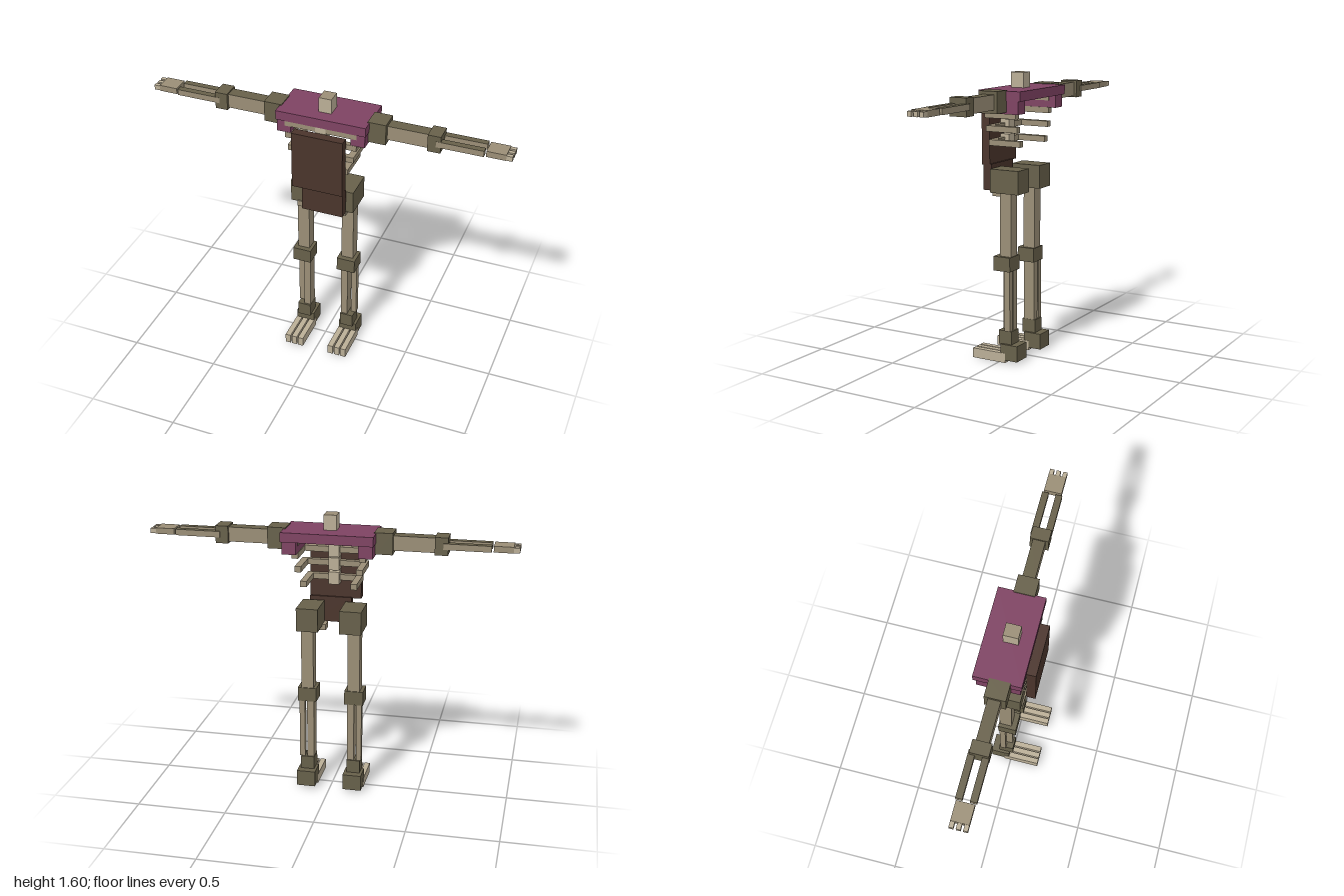
import * as THREE from 'three';

export function createModel() {
  const mat = (name, color) => {
    const m = new THREE.MeshStandardMaterial({ color });
    m.name = name;
    return m;
  };
  const bone = mat('bone', 0x9a8e76);
  const paleBone = mat('paleBone', 0xbaae96);
  const joint = mat('mossyJoint', 0x67604a);
  const leather = mat('darkLeather', 0x4a342b);
  const cloth = mat('purpleCloth', 0x7e4262);

  const model = new THREE.Group();
  model.name = 'headlessSkeleton';

  // Box from its limits: [x0, x1], [y0, y1], [z0, z1]
  const box = (parent, name, material, [x0, x1], [y0, y1], [z0, z1]) => {
    const mesh = new THREE.Mesh(new THREE.BoxGeometry(Math.abs(x1 - x0), y1 - y0, z1 - z0), material);
    mesh.position.set((x0 + x1) / 2, (y0 + y1) / 2, (z0 + z1) / 2);
    mesh.name = name;
    parent.add(mesh);
  };
  const group = (name) => {
    const g = new THREE.Group();
    g.name = name;
    model.add(g);
    return g;
  };

  // Face order: +x, -x, +y, -y, +z, -z
  const mossTop = [bone, bone, joint, joint, bone, bone];
  const neckFaces = [paleBone, paleBone, bone, bone, paleBone, paleBone];

  // Neck, mantle and front armour
  box(model, 'neck', neckFaces, [-0.035, 0.035], [1.5, 1.595], [-0.07, 0.01]);
  box(model, 'mantle', cloth, [-0.25, 0.25], [1.46, 1.512], [-0.17, 0.083]);
  box(model, 'chestPlate', leather, [-0.143, 0.143], [1.095, 1.425], [0.08, 0.13]);
  box(model, 'bellyPlate', leather, [-0.09, 0.143], [0.955, 1.1], [0.07, 0.12]);

  // Breastbone blocks, one per pair of ribs
  const ribs = [[1.22, 0.155], [1.3, 0.185], [1.375, 0.2], [1.445, 0.2]];
  const ribCage = group('ribCage');
  for (const [y] of ribs) {
    box(ribCage, 'breastbone', paleBone, [-0.03, 0.03], [y - 0.035, y + 0.035], [0.025, 0.078]);
  }

  for (const s of [1, -1]) {
    const side = s > 0 ? 'left' : 'right';
    const part = (parent, name, material, [a, b], y, z) =>
      box(parent, name, material, [s * a, s * b], y, z);

    part(model, side + 'MantleFlap', cloth, [0.168, 0.245], [1.39, 1.46], [-0.155, 0.076]);

    // Ribs: front bar out from the breastbone, then a bar running back
    for (const [y, reach] of ribs) {
      const h = [y - 0.016, y + 0.016];
      part(ribCage, 'ribFront', bone, [0.03, reach], h, [0.05, 0.078]);
      part(ribCage, 'ribSide', bone, [reach - 0.035, reach], h, [-0.115, 0.05]);
    }

    // Arm, held straight out
    const arm = group(side + 'Arm');
    part(arm, 'shoulder', joint, [0.24, 0.34], [1.4, 1.517], [-0.087, 0.025]);
    part(arm, 'upperArm', mossTop, [0.34, 0.56], [1.42, 1.5], [-0.067, 0]);
    part(arm, 'elbow', joint, [0.56, 0.63], [1.412, 1.508], [-0.083, 0.017]);
    part(arm, 'forearmBackBone', mossTop, [0.605, 0.855], [1.445, 1.478], [-0.09, -0.055]);
    part(arm, 'forearmFrontBone', mossTop, [0.605, 0.855], [1.445, 1.478], [-0.017, 0.018]);
    part(arm, 'hand', bone, [0.865, 0.968], [1.445, 1.478], [-0.083, 0.012]);
    for (let i = 0; i < 3; i++) {
      const z = -0.083 + i * 0.036;
      part(arm, 'finger', paleBone, [0.968, 1], [1.447, 1.474], [z, z + 0.023]);
    }

    // Leg
    const leg = group(side + 'Leg');
    part(leg, 'hip', joint, [0.06, 0.18], [0.95, 1.08], [-0.118, 0.057]);
    part(leg, 'pelvisBone', bone, [0.04, 0.14], [0.925, 0.958], [0, 0.065]);
    part(leg, 'thigh', bone, [0.097, 0.165], [0.6, 0.95], [-0.065, 0.004]);
    part(leg, 'knee', joint, [0.08, 0.185], [0.52, 0.6], [-0.07, 0.033]);
    part(leg, 'shinBone', bone, [0.095, 0.134], [0.18, 0.52], [-0.065, 0]);
    part(leg, 'outerShinBone', bone, [0.147, 0.177], [0.18, 0.52], [-0.065, -0.032]);
    part(leg, 'ankle', joint, [0.094, 0.17], [0.1, 0.18], [-0.073, 0.01]);
    part(leg, 'heel', joint, [0.08, 0.185], [0.015, 0.105], [-0.115, -0.01]);
    for (let i = 0; i < 3; i++) {
      const x = 0.078 + i * 0.039;
      part(leg, 'toe', paleBone, [x, x + 0.031], [0, 0.055], [-0.04, 0.168]);
    }
  }
  return model;
}
